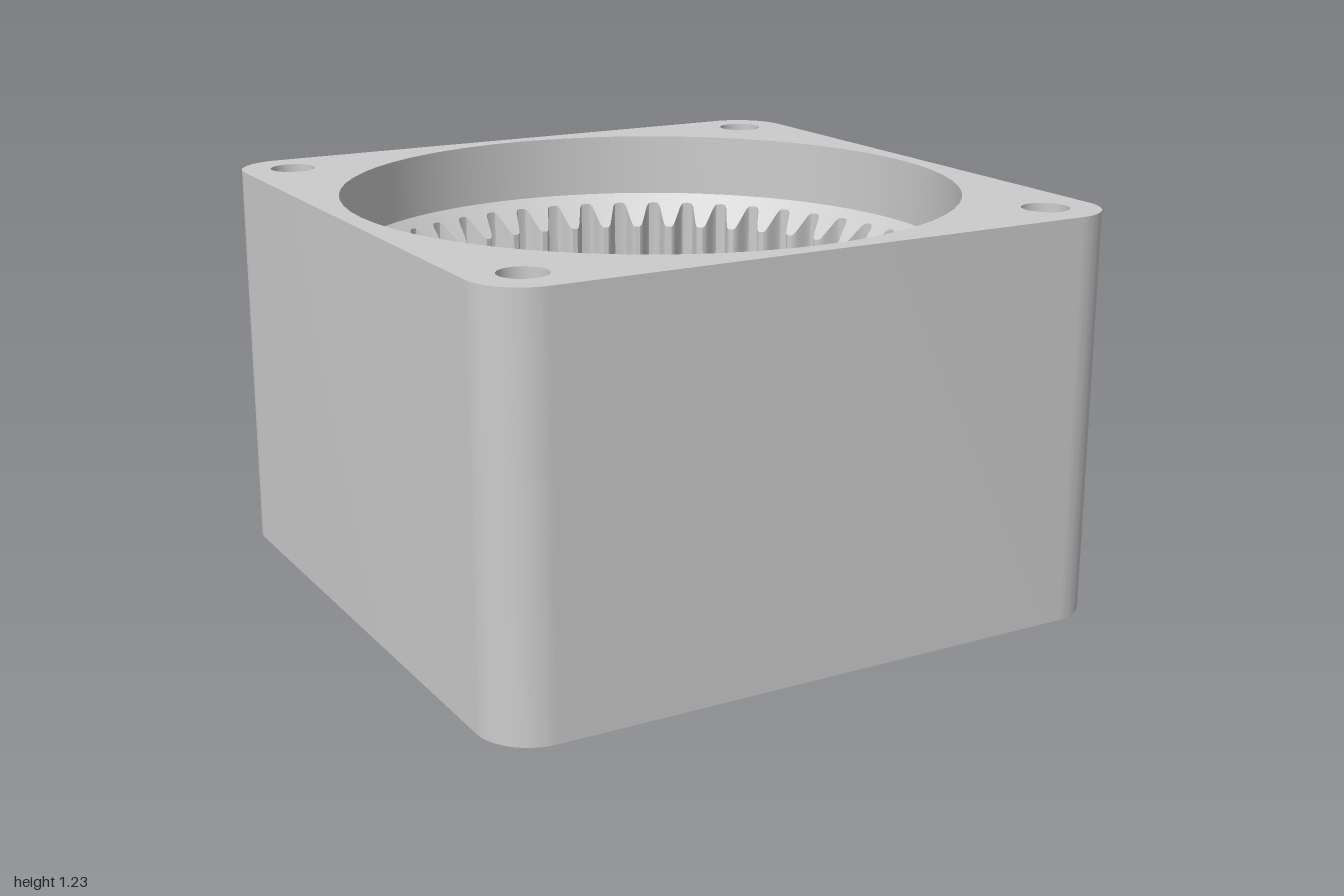
import * as THREE from 'three';
import { toCreasedNormals } from 'three/addons/utils/BufferGeometryUtils.js';

const HEIGHT = 1.23, FLOOR = 0.48, LEDGE = 1.03;
const BORE = 0.94, ROOT = 0.912, TIP = 0.84, TEETH = 48;

// Floor holes: x, z, drilled radius, countersunk radius
const SCREWS = [
  [0, -0.615, 0.117, 0.21], [0, 0.615, 0.117, 0.21],
  [-0.73, 0, 0.137, 0.23], [0.73, 0, 0.137, 0.23],
  [-0.46, -0.46, 0.137, 0.23], [0.46, 0.46, 0.137, 0.23],
];
const CENTRE_R = 0.257;
const CORNER_R = 0.07;
const CORNERS = [[-1, -1], [1, -1], [1, 1], [-1, 1]].map(([a, b]) => [a * 0.84, b * 0.84]);

const material = new THREE.MeshStandardMaterial({ color: 0xcccccc, side: THREE.DoubleSide });

function roundedSquare(r) {
  const s = new THREE.Shape();
  s.moveTo(-1 + r, -1);
  s.absarc(1 - r, -1 + r, r, -Math.PI / 2, 0);
  s.absarc(1 - r, 1 - r, r, 0, Math.PI / 2);
  s.absarc(-1 + r, 1 - r, r, Math.PI / 2, Math.PI);
  s.absarc(-1 + r, -1 + r, r, Math.PI, Math.PI * 1.5);
  s.closePath();
  return s;
}

function punch(shape, x, y, r) {
  shape.holes.push(new THREE.Path().absarc(x, y, r, 0, Math.PI * 2, true));
}

// Flat face in the ground plane, facing up (dir 1) or down (dir -1)
function face(shape, dir, y) {
  return new THREE.ShapeGeometry(shape, 32).rotateX(-dir * Math.PI / 2).translate(0, y, 0);
}

// Open wall of a hole between two heights
function holeWall(x, z, r0, y0, r1, y1, sides = 48) {
  return new THREE.CylinderGeometry(r1, r0, y1 - y0, sides, 1, true).translate(x, (y0 + y1) / 2, z);
}

// Toothed inner wall with its 45 degree lead-in cone
function ringGear() {
  // One pitch: fraction of pitch, fraction of tooth height (0 root, 1 tip)
  const profile = [[-0.13, 0.03], [0, 0], [0.13, 0.03], [0.19, 0.15], [0.24, 0.4],
    [0.3, 0.7], [0.36, 0.93], [0.42, 1], [0.5, 1], [0.58, 1], [0.64, 0.93],
    [0.7, 0.7], [0.76, 0.4], [0.81, 0.15]];
  const pos = [], index = [], n = TEETH * profile.length;
  for (let t = 0; t < TEETH; t++) {
    for (const [f, h] of profile) {
      const a = (t + f) / TEETH * Math.PI * 2;
      const r = ROOT + (TIP - ROOT) * h;
      const c = Math.cos(a), s = Math.sin(a);
      pos.push(r * c, FLOOR, r * s, r * c, LEDGE - (BORE - r), r * s, BORE * c, LEDGE, BORE * s);
    }
  }
  for (let i = 0; i < n; i++) {
    const j = (i + 1) % n;
    for (let k = 0; k < 2; k++) {
      const a = i * 3 + k, b = j * 3 + k;
      index.push(a, b, b + 1, a, b + 1, a + 1);
    }
  }
  const g = new THREE.BufferGeometry();
  g.setAttribute('position', new THREE.Float32BufferAttribute(pos, 3));
  g.setIndex(index);
  return toCreasedNormals(g, 0.6);
}

// Side walls of the housing only, without caps
function outerWall() {
  const e = new THREE.ExtrudeGeometry(roundedSquare(0.16), { depth: HEIGHT, bevelEnabled: false, curveSegments: 16 });
  const { start, count } = e.groups[1];
  const g = new THREE.BufferGeometry();
  g.setAttribute('position', new THREE.BufferAttribute(
    e.attributes.position.array.slice(start * 3, (start + count) * 3), 3));
  return toCreasedNormals(g.rotateX(-Math.PI / 2), 0.5);
}

export function createModel() {
  const model = new THREE.Group();
  model.name = 'ringGearHousing';
  const add = (name, geometry) => {
    const mesh = new THREE.Mesh(geometry, material);
    mesh.name = name;
    model.add(mesh);
  };

  // Housing faces
  const top = roundedSquare(0.16), bottom = roundedSquare(0.16);
  const floor = new THREE.Shape().absarc(0, 0, 0.97, 0, Math.PI * 2);
  punch(top, 0, 0, BORE);
  punch(bottom, 0, 0, CENTRE_R);
  punch(floor, 0, 0, CENTRE_R);
  for (const [x, z] of CORNERS) {
    punch(top, x, -z, CORNER_R);
    punch(bottom, x, z, CORNER_R);
  }
  for (const [x, z, r, sink] of SCREWS) {
    punch(bottom, x, z, r);
    punch(floor, x, -z, sink);
  }
  add('outerWall', outerWall());
  add('topFace', face(top, 1, HEIGHT));
  add('bottomFace', face(bottom, -1, 0));
  add('innerFloor', face(floor, 1, FLOOR));

  // Bore and gear teeth
  add('upperBore', holeWall(0, 0, BORE, LEDGE, BORE, HEIGHT, 96));
  add('ringGearTeeth', ringGear());

  // Through holes and countersinks
  add('shaftHole', holeWall(0, 0, CENTRE_R, 0, CENTRE_R, FLOOR, 64));
  for (const [x, z] of CORNERS) add('cornerBoltHole', holeWall(x, z, CORNER_R, 0, CORNER_R, HEIGHT, 32));
  for (const [x, z, r, sink] of SCREWS) {
    const y = FLOOR - (sink - r);
    add('screwHole', holeWall(x, z, r, 0, r, y));
    add('screwCountersink', holeWall(x, z, r, y, sink, FLOOR));
  }
  return model;
}
